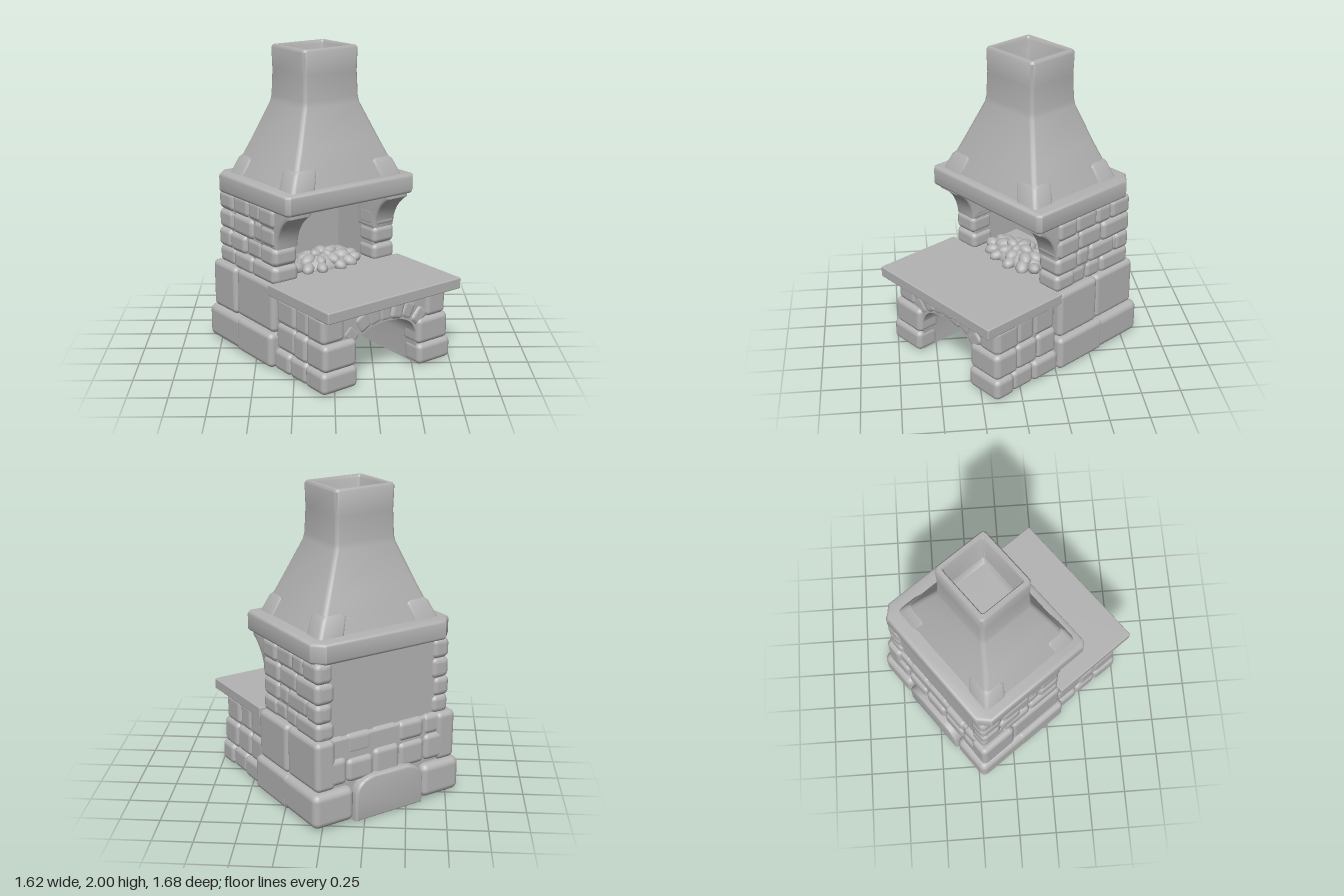
import * as THREE from 'three';
import { RoundedBoxGeometry } from 'three/addons/geometries/RoundedBoxGeometry.js';
import { toCreasedNormals } from 'three/addons/utils/BufferGeometryUtils.js';

const stoneGrey = new THREE.MeshStandardMaterial({ color: 0xb3b3b3 });
stoneGrey.name = 'stone grey';

// Small seeded random, returns -1..1
let seed = 7;
function rnd() {
  seed = (seed * 16807) % 2147483647;
  return (seed / 2147483647) * 2 - 1;
}

function add(parent, name, geometry) {
  const mesh = new THREE.Mesh(geometry, stoneGrey);
  mesh.name = name;
  parent.add(mesh);
  return mesh;
}

// Rounded block given by its extents
function block(parent, name, x0, x1, y0, y1, z0, z1, r = 0.03) {
  const g = new RoundedBoxGeometry(x1 - x0, y1 - y0, z1 - z0, 3, r);
  const mesh = add(parent, name, g);
  mesh.position.set((x0 + x1) / 2, (y0 + y1) / 2, (z0 + z1) / 2);
  return mesh;
}

// Row of n uneven stones along z on both side faces; outer face at |x| = out
function sideCourse(parent, n, out, y0, y1, z0, z1, depth = 0.12) {
  for (const s of [-1, 1]) {
    let z = z0;
    for (let i = 0; i < n; i++) {
      const next = i === n - 1 ? z1 : z0 + ((z1 - z0) * (i + 1 + rnd() * 0.22)) / n;
      const o = out + rnd() * 0.01;
      const [a, b] = s > 0 ? [o - depth, o] : [-o, depth - o];
      block(parent, 'sideStone', a, b, y0 - 0.004, y1 + 0.004, z - 0.004, next + 0.004, 0.035)
        .rotation.x = rnd() * 0.02;
      z = next;
    }
  }
}

// Loft through rounded rectangles: [y, halfX, halfZ, cornerRadius, centreX, centreZ]
function loft(sections) {
  const per = 16, pos = [], idx = [];
  for (const [y, hx, hz, r, cx, cz] of sections) {
    for (let k = 0; k < 4; k++) {
      const sx = k === 0 || k === 3 ? 1 : -1, sz = k < 2 ? 1 : -1;
      for (let j = 0; j < 4; j++) {
        const t = (k + j / 3) * Math.PI / 2;
        pos.push(cx + sx * (hx - r) + r * Math.cos(t), y, cz + sz * (hz - r) + r * Math.sin(t));
      }
    }
  }
  for (let i = 0; i < sections.length - 1; i++) {
    for (let j = 0; j < per; j++) {
      const a = i * per + j, b = i * per + (j + 1) % per;
      idx.push(a, a + per, b, b, a + per, b + per);
    }
  }
  const g = new THREE.BufferGeometry();
  g.setAttribute('position', new THREE.Float32BufferAttribute(pos, 3));
  g.setIndex(idx);
  return toCreasedNormals(g, 0.7);
}

export function createModel() {
  seed = 7;
  const model = new THREE.Group();
  model.name = 'outdoorFireplace';
  const body = new THREE.Group();
  body.name = 'fireplaceBody';
  body.rotation.y = 0.635;
  model.add(body);

  // Lower body with the vaulted wood store, open to the front and below
  const vault = new THREE.Shape();
  vault.moveTo(-0.47, 0.02);
  vault.lineTo(-0.25, 0.02);
  vault.lineTo(-0.25, 0.2);
  vault.bezierCurveTo(-0.24, 0.32, -0.16, 0.36, 0, 0.365);
  vault.bezierCurveTo(0.16, 0.36, 0.24, 0.32, 0.25, 0.2);
  vault.lineTo(0.25, 0.02);
  vault.lineTo(0.47, 0.02);
  vault.lineTo(0.47, 0.52);
  vault.lineTo(-0.47, 0.52);
  const vaultGeo = new THREE.ExtrudeGeometry(vault, { depth: 0.84, bevelEnabled: false, curveSegments: 10 });
  vaultGeo.translate(0, 0, -0.3);
  add(body, 'woodStore', toCreasedNormals(vaultGeo, 0.6));
  block(body, 'backCore', -0.48, 0.48, 0.02, 0.56, -0.62, -0.29, 0.02);

  // Plinth: long side blocks and an arched stone at the back
  for (const s of [-1, 1]) {
    const [a, b] = s > 0 ? [0.255, 0.545] : [-0.545, -0.255];
    block(body, 'plinthBlock', a, b, 0.02, 0.245, -0.675, -0.28, 0.045);
    const [c, d] = s > 0 ? [0.3, 0.545] : [-0.545, -0.3];
    block(body, 'plinthBlock', c, d, 0.015, 0.245, -0.34, 0.06, 0.035);
  }
  const arch = new THREE.Shape();
  arch.moveTo(-0.235, 0.02);
  arch.lineTo(0.235, 0.02);
  arch.lineTo(0.235, 0.18);
  arch.quadraticCurveTo(0.22, 0.265, 0.12, 0.275);
  arch.lineTo(-0.12, 0.275);
  arch.quadraticCurveTo(-0.22, 0.265, -0.235, 0.18);
  const archGeo = new THREE.ExtrudeGeometry(arch, {
    depth: 0.1, bevelSize: 0.015, bevelThickness: 0.02, bevelSegments: 3 });
  archGeo.translate(0, 0, -0.66);
  add(body, 'archedBackStone', toCreasedNormals(archGeo, 0.7));

  // Stones of the lower side walls and the back
  sideCourse(body, 2, 0.515, 0.245, 0.56, -0.64, 0.04, 0.14);
  for (let i = 0; i < 5; i++) {
    const x = -0.48 + i * 0.192;
    block(body, 'backStone', x, x + 0.195, 0.26, 0.43 + rnd() * 0.02, -0.645 + rnd() * 0.008, -0.5, 0.035);
    block(body, 'backStone', x, x + 0.195, 0.43, 0.56 + rnd() * 0.01, -0.625 + rnd() * 0.008, -0.5, 0.035);
  }

  // Front legs: stone courses on the sides and front faces
  [[0.015, 0.15, 0.515, 0.585], [0.15, 0.32, 0.5, 0.57], [0.32, 0.49, 0.485, 0.555]].forEach(([y0, y1, out, front], i) => {
    sideCourse(body, 3, out, y0, y1, 0.05, front - 0.01);
    for (const s of [-1, 1]) {
      const inner = i === 2 ? 0.32 : 0.245;
      const [a, b] = s > 0 ? [inner, out] : [-out, -inner];
      block(body, 'legStone', a, b, y0 - 0.003, y1 + 0.003, front - 0.16, front + rnd() * 0.006, 0.035);
    }
  });

  // Arch stones over the front opening
  for (let i = 0; i < 7; i++) {
    const t = (i - 3) / 3;
    const g = new RoundedBoxGeometry(0.105, 0.125, 0.15, 3, 0.03);
    const m = add(body, 'archStone', g);
    m.position.set(t * 0.27, 0.425 - 0.085 * t * t * Math.abs(t), 0.475 + rnd() * 0.006);
    m.rotation.z = -t * 0.75;
  }

  // Table slab and hearth floor
  block(body, 'tableSlab', -0.53, 0.52, 0.5, 0.572, 0.03, 0.652, 0.008);
  block(body, 'hearthFloor', -0.42, 0.42, 0.45, 0.57, -0.5, 0.06, 0.005);

  // Firebox walls
  block(body, 'fireboxBack', -0.46, 0.46, 0.5, 1.06, -0.595, -0.36, 0.01);
  for (const s of [-1, 1]) {
    const [a, b] = s > 0 ? [0.315, 0.465] : [-0.465, -0.315];
    block(body, 'fireboxSide', a, b, 0.5, 1.06, -0.58, 0.02, 0.01);

    // Corbel curving forward beneath the mantel
    const c = new THREE.Shape();
    c.moveTo(-0.12, 0.8);
    c.lineTo(0.025, 0.8);
    c.quadraticCurveTo(0.04, 0.94, 0.165, 1.02);
    c.lineTo(0.165, 1.06);
    c.lineTo(-0.12, 1.06);
    const cg = new THREE.ExtrudeGeometry(c, {
      depth: 0.14, bevelSize: 0.015, bevelThickness: 0.015, bevelSegments: 3 });
    cg.rotateY(-Math.PI / 2);
    cg.translate(s * 0.39 + 0.07, 0, 0);
    add(body, 'corbel', toCreasedNormals(cg, 0.7));
  }

  // Stone courses of the firebox sides, front piers and back corners
  const heights = [0.555, 0.67, 0.79, 0.92, 1.045];
  for (let i = 0; i < 4; i++) {
    const y0 = heights[i], y1 = heights[i + 1];
    sideCourse(body, 3 + (i % 2), 0.485, y0, y1, -0.61, 0.03);
    for (const s of [-1, 1]) {
      const outer = 0.485, inner = 0.305 + rnd() * 0.008;
      const [a, b] = s > 0 ? [inner, outer] : [-outer, -inner];
      if (i < 3) block(body, 'pierStone', a, b, y0, y1, -0.13, 0.04 + rnd() * 0.008, 0.035);
      const q = 0.36 + (i % 2) * 0.03;
      const [c, d] = s > 0 ? [q, outer] : [-outer, -q];
      block(body, 'cornerStone', c, d, y0, y1, -0.615, -0.45, 0.035);
    }
  }

  // Embers heaped on the hearth
  const embers = new THREE.Group();
  embers.name = 'embers';
  embers.position.set(-0.01, 0.57, -0.1);
  body.add(embers);
  [[13, 1, 0.02], [9, 0.62, 0.05], [4, 0.25, 0.075]].forEach(([n, r, y]) => {
    for (let i = 0; i < n; i++) {
      const a = (i / n) * Math.PI * 2 + rnd() * 0.12;
      const m = add(embers, 'ember', new THREE.SphereGeometry(0.042 + rnd() * 0.007, 12, 8));
      m.position.set(Math.cos(a) * r * 0.23, y, Math.sin(a) * r * 0.13);
      m.scale.set(1.25, 0.85, 0.95);
      m.rotation.set(0, -a, rnd() * 0.4);
    }
  });
  const heap = add(embers, 'emberHeap', new THREE.SphereGeometry(1, 20, 10));
  heap.scale.set(0.23, 0.085, 0.13);

  // Mantel slab with chamfered corners
  const hx = 0.485, z0 = -0.2, z1 = 0.605, k = 0.06, f = 0.015;
  const m = new THREE.Shape();
  [[-hx + f, z0], [hx - f, z0], [hx, z0 + f], [hx, z1 - k], [hx - k, z1],
    [-hx + k, z1], [-hx, z1 - k], [-hx, z0 + f]].forEach(([x, z], i) => (i ? m.lineTo(x, z) : m.moveTo(x, z)));
  const mantelGeo = new THREE.ExtrudeGeometry(m, {
    depth: 0.09, bevelSize: 0.02, bevelThickness: 0.02, bevelSegments: 3 });
  mantelGeo.rotateX(-Math.PI / 2);
  mantelGeo.translate(-0.005, 1.06, 0);
  add(body, 'mantel', toCreasedNormals(mantelGeo, 0.7));

  // Tapering hood, chimney and the flue hollow in its top
  const cx = -0.01, cz = -0.185;
  add(body, 'hoodAndChimney', loft([
    [1.15, 0.43, 0.355, 0.03, cx, -0.18], [1.4, 0.322, 0.272, 0.03, cx, -0.18],
    [1.64, 0.222, 0.196, 0.028, cx, cz], [1.68, 0.214, 0.189, 0.025, cx, cz],
    [1.84, 0.208, 0.184, 0.025, cx, cz], [1.985, 0.212, 0.187, 0.025, cx, cz],
    [2, 0.202, 0.177, 0.02, cx, cz], [2, 0.18, 0.155, 0.015, cx, cz],
    [1.985, 0.172, 0.147, 0.012, cx, cz], [1.75, 0.165, 0.14, 0.012, cx, cz],
    [1.72, 0.14, 0.12, 0.012, cx, cz], [1.72, 0.001, 0.001, 0.0005, cx, cz]]));

  // Raised corner stones at the foot of the hood
  for (const sx of [-1, 1]) {
    for (const sz of [-1, 1]) {
      add(body, 'hoodCornerStone', loft([
        [1.15, 0.09, 0.08, 0.025, cx + sx * 0.35, -0.18 + sz * 0.285],
        [1.27, 0.085, 0.075, 0.025, cx + sx * 0.303, -0.18 + sz * 0.25],
        [1.3, 0.065, 0.055, 0.02, cx + sx * 0.293, -0.18 + sz * 0.245],
        [1.3, 0.001, 0.001, 0.0005, cx + sx * 0.293, -0.18 + sz * 0.245]]));
    }
  }
  return model;
}
